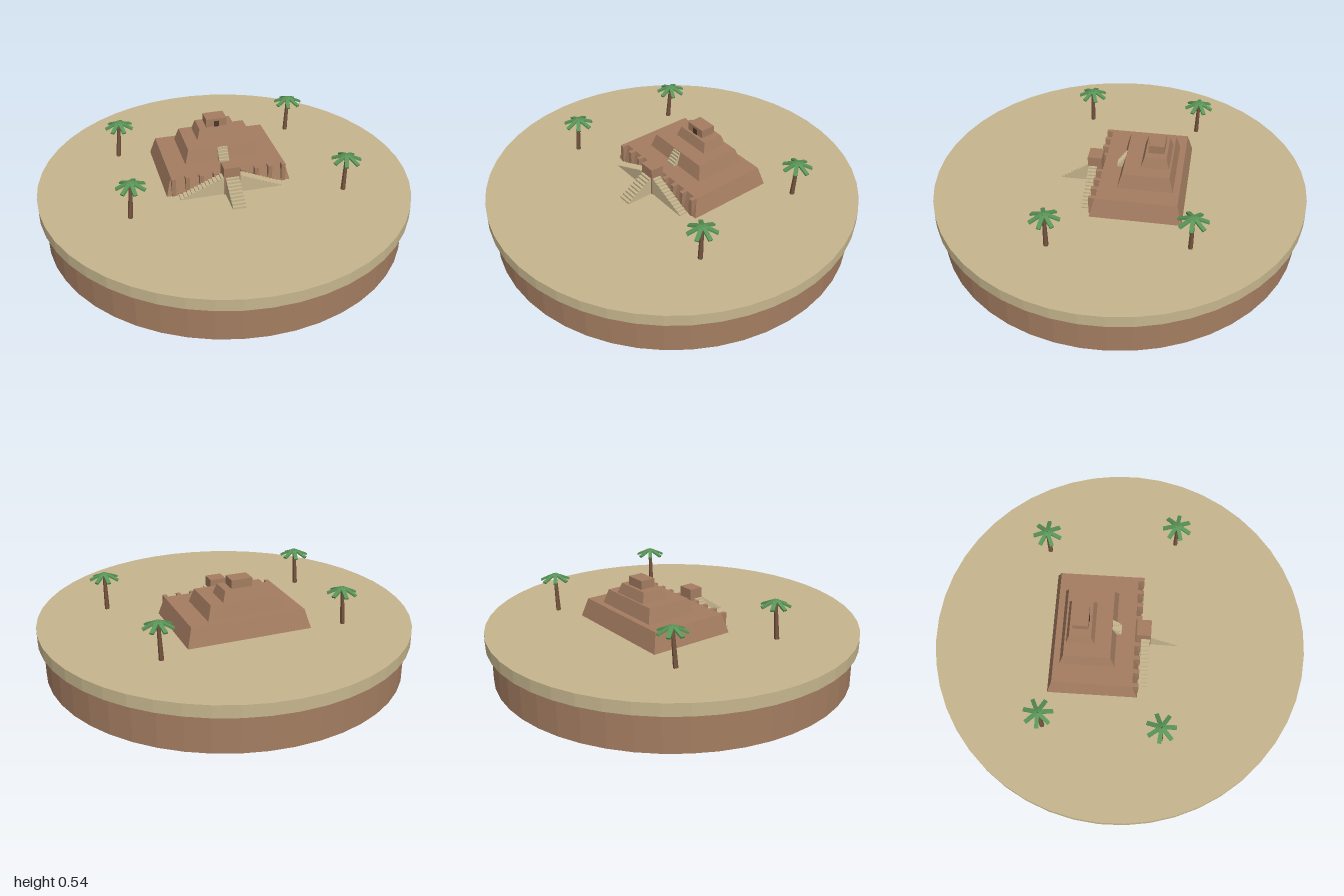
import * as THREE from 'three';

const mat = (name, color) => {
  const m = new THREE.MeshStandardMaterial({ color });
  m.name = name;
  return m;
};

export function createModel() {
  const sand = mat('sand', 0xc6b68e);
  const brick = mat('mud brick', 0xa47d61);
  const dark = mat('dark doorway', 0x49372b);
  const bark = mat('palm bark', 0x76543f);
  const leaf = mat('palm green', 0x5a9558);
  const root = new THREE.Group();
  const G = 0.265; // ground level

  const add = (parent, name, geo, material, x = 0, y = 0, z = 0) => {
    const m = new THREE.Mesh(geo, material);
    m.name = name;
    m.position.set(x, y, z);
    parent.add(m);
    return m;
  };
  const faceted = (geo) => {
    const g = geo.toNonIndexed();
    g.computeVertexNormals();
    return g;
  };

  // Round island
  add(root, 'earthBase', faceted(new THREE.CylinderGeometry(0.97, 0.97, 0.2, 48)), brick, 0, 0.1, 0);
  add(root, 'sandDisc', faceted(new THREE.CylinderGeometry(1, 1, 0.065, 48)), sand, 0, 0.2325, 0);

  // Stepped temple, turned on the island
  const temple = new THREE.Group();
  temple.name = 'steppedTemple';
  temple.position.set(0.043, 0, -0.12);
  temple.rotation.y = -Math.PI / 9;
  root.add(temple);

  // Box whose top is inset on every side
  const taperedBox = (w, h, d, inset) => {
    const g = new THREE.BoxGeometry(w, h, d);
    const p = g.attributes.position;
    for (let i = 0; i < p.count; i++) {
      if (p.getY(i) > 0) {
        p.setX(i, p.getX(i) - Math.sign(p.getX(i)) * inset);
        p.setZ(i, p.getZ(i) - Math.sign(p.getZ(i)) * inset);
      }
    }
    return faceted(g);
  };
  [
    ['lowerTier', 0.677, 0.478, G, 0.366, 0.028, 0],
    ['middleTier', 0.416, 0.289, 0.366, 0.441, 0.022, -0.033],
    ['upperTier', 0.23, 0.148, 0.441, 0.495, 0.017, -0.072],
    ['shrine', 0.113, 0.082, 0.495, 0.541, 0, -0.072],
  ].forEach(([name, w, d, y0, y1, inset, z]) =>
    add(temple, name, taperedBox(w, y1 - y0, d, inset), brick, 0, (y0 + y1) / 2, z));
  add(temple, 'shrineDoor', new THREE.BoxGeometry(0.028, 0.032, 0.004), dark, 0, 0.511, -0.03);

  // Pilasters along the front wall
  for (const side of [-1, 1]) {
    for (let i = 1; i <= 4; i++) {
      add(temple, 'pilaster', new THREE.BoxGeometry(0.022, 0.101, 0.036), brick,
        side * i * 0.075, G + 0.0505, 0.226);
    }
  }

  // Gatehouse where the three stairs meet
  add(temple, 'gatehouse', new THREE.BoxGeometry(0.088, 0.156, 0.075), brick, 0, G + 0.078, 0.257);

  // Solid stair, descending along its own +x
  const stair = (name, run, rise, width, steps, x, y, z, turn) => {
    const s = new THREE.Shape();
    s.moveTo(0, 0);
    for (let i = steps; i > 0; i--) {
      const h = rise * i / steps;
      s.lineTo(run * (steps - i) / steps, h);
      s.lineTo(run * (steps - i + 1) / steps, h);
    }
    s.lineTo(run, 0);
    const g = new THREE.ExtrudeGeometry(s, { depth: width, bevelEnabled: false });
    g.translate(0, 0, -width / 2);
    add(temple, name, g, sand, x, y, z).rotation.y = turn;
  };
  stair('centralStair', 0.15, 0.101, 0.072, 9, 0, G, 0.292, -Math.PI / 2);
  stair('leftStair', 0.235, 0.101, 0.046, 12, 0.04, G, 0.267, 0);
  stair('rightStair', 0.235, 0.101, 0.046, 12, -0.04, G, 0.267, Math.PI);
  stair('tierStair', 0.05, 0.07, 0.054, 5, 0, 0.366, 0.088, -Math.PI / 2);

  // Palm trees: [crown x, crown z, trunk lean, turn]
  const up = new THREE.Vector3(0, 1, 0);
  [[-0.342, -0.53, 0.018, 0.1], [0.62, -0.23, 0.012, 0.5],
    [-0.59, 0.043, 0.016, 0.9], [0.455, 0.46, 0.006, 1.3]].forEach(([x, z, lean, turn]) => {
    const palm = new THREE.Group();
    palm.name = 'palmTree';
    palm.position.set(x, 0, z);
    root.add(palm);
    const dir = new THREE.Vector3(lean, 0.205, 0);
    const trunk = add(palm, 'trunk', faceted(new THREE.CylinderGeometry(0.009, 0.013, dir.length(), 6)),
      bark, -lean / 2, G + 0.1025, 0);
    trunk.quaternion.setFromUnitVectors(up, dir.normalize());
    for (let i = 0; i < 7; i++) {
      const pivot = new THREE.Group();
      pivot.name = 'frond';
      pivot.position.y = 0.472;
      pivot.rotation.y = turn + i * Math.PI * 2 / 7;
      palm.add(pivot);
      const blade = add(pivot, 'blade', new THREE.BoxGeometry(0.08, 0.01, 0.021), leaf, 0.04, -0.016, 0);
      blade.rotation.z = -0.42;
    }
  });
  return root;
}
